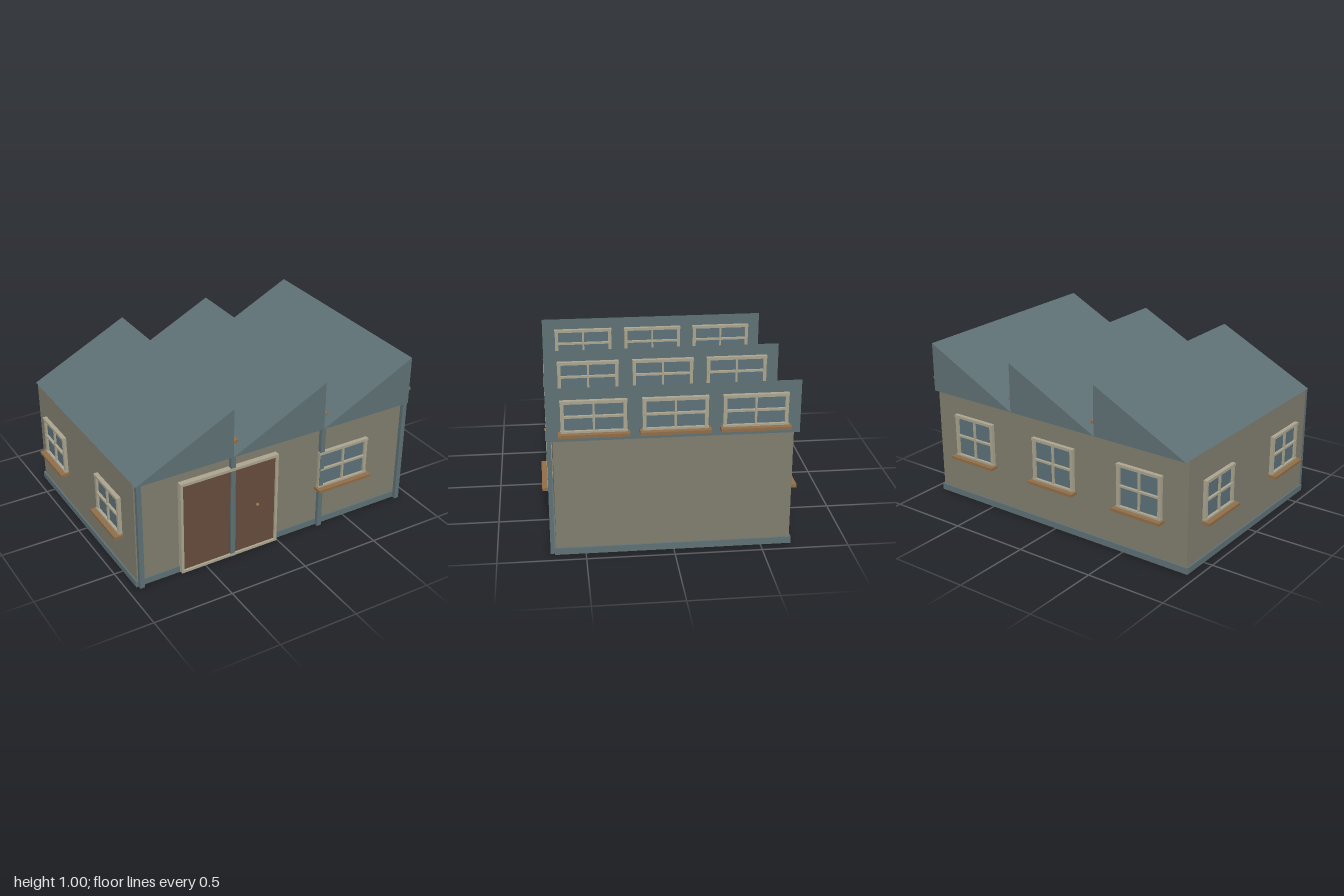
import * as THREE from 'three';

const mat = (name, color) => {
  const m = new THREE.MeshStandardMaterial({ color });
  m.name = name;
  return m;
};

export function createModel() {
  const wallMat = mat('wall grey', 0x807d6e);
  const roofMat = mat('slate teal', 0x5e7074);
  const glassMat = mat('window glass', 0x5c7078);
  const frameMat = mat('pale frame', 0xaaa48e);
  const sillMat = mat('wood sill', 0x8f6d48);
  const doorMat = mat('door brown', 0x674c3c);

  const model = new THREE.Group();
  model.name = 'sawtoothFactory';

  // Box given by its minimum and maximum on each axis
  function box(parent, name, material, x0, x1, y0, y1, z0, z1) {
    const mesh = new THREE.Mesh(new THREE.BoxGeometry(x1 - x0, y1 - y0, z1 - z0), material);
    mesh.position.set((x0 + x1) / 2, (y0 + y1) / 2, (z0 + z1) / 2);
    mesh.name = name;
    parent.add(mesh);
    return mesh;
  }

  const left = -0.935, right = 0.928, wallZ = 0.667, eaves = 0.69;

  // Walls and plinth
  box(model, 'walls', wallMat, left, right, 0.03, eaves, -wallZ, wallZ);
  box(model, 'plinth', roofMat, left - 0.01, right + 0.01, 0, 0.04, -0.676, 0.676);

  // Sawtooth roof: three wedges, each steep on the right side
  const ridges = [-0.313, 0.307, 0.93];
  let start = left;
  for (const ridge of ridges) {
    const shape = new THREE.Shape();
    shape.moveTo(start, eaves);
    shape.lineTo(ridge, eaves);
    shape.lineTo(ridge, 1.0);
    shape.closePath();
    const geo = new THREE.ExtrudeGeometry(shape, { depth: 1.4, bevelEnabled: false });
    geo.translate(0, 0, -0.7);
    const tooth = new THREE.Mesh(geo, roofMat);
    tooth.name = 'roofTooth';
    model.add(tooth);
    start = ridge;
  }

  // Front pillars
  for (const x of [-0.916, -0.315, 0.305, 0.908]) {
    box(model, 'pillar', roofMat, x - 0.015, x + 0.015, 0, eaves, 0.676, 0.7);
  }

  // Window with frame, cross bars and sill; local z points out of the wall
  function addWindow(x, y, z, turn, halfW, height) {
    const g = new THREE.Group();
    g.name = 'window';
    const t = 0.02, b = 0.006, near = 0.01, out = 0.036, mid = height / 2;
    box(g, 'glass', glassMat, -halfW + 0.01, halfW - 0.01, 0.005, height - 0.01, 0.006, 0.018);
    for (const s of [-1, 1]) {
      const c = s * (halfW - t / 2 - 0.002);
      box(g, 'frameStile', frameMat, c - t / 2, c + t / 2, 0, height - 0.002, near, out - 0.004);
    }
    box(g, 'frameTop', frameMat, -halfW, halfW, height - 0.017, height, near, out);
    box(g, 'frameBottom', frameMat, -halfW, halfW, 0, 0.012, near, out);
    box(g, 'uprightBar', frameMat, -b, b, 0.006, height - 0.01, near, out - 0.006);
    box(g, 'crossBar', frameMat, -halfW + 0.01, halfW - 0.01, mid - b, mid + b, near, out - 0.002);
    box(g, 'sill', sillMat, -halfW - 0.013, halfW + 0.013, -0.017, 0.001, near, 0.067);
    g.position.set(x, y, z);
    g.rotation.y = turn;
    model.add(g);
  }

  // Roof windows, three on each steep face
  for (const ridge of ridges) {
    for (const z of [0.441, -0.003, -0.445]) addWindow(ridge, 0.751, z, Math.PI / 2, 0.182, 0.185);
  }
  // Front, back and side windows
  addWindow(0.463, 0.282, wallZ, 0, 0.178, 0.247);
  for (const x of [-0.622, -0.004, 0.617]) addWindow(x, 0.294, -wallZ, Math.PI, 0.153, 0.272);
  for (const z of [-0.382, 0.372]) addWindow(left, 0.282, z, -Math.PI / 2, 0.153, 0.247);

  // Double door
  const door = new THREE.Group();
  door.name = 'door';
  box(door, 'leafRight', doorMat, -0.648, -0.336, 0.014, 0.606, 0.66, 0.69);
  box(door, 'leafLeft', doorMat, -0.334, -0.02, 0.014, 0.606, 0.66, 0.69);
  box(door, 'frameTop', frameMat, -0.66, -0.01, 0.6, 0.617, 0.66, 0.703);
  box(door, 'frameBottom', frameMat, -0.66, -0.01, 0.005, 0.02, 0.66, 0.703);
  for (const x of [-0.652, -0.018]) {
    box(door, 'frameSide', frameMat, x - 0.008, x + 0.008, 0.006, 0.616, 0.66, 0.702);
  }
  const knob = new THREE.Mesh(new THREE.SphereGeometry(0.011, 12, 8), sillMat);
  knob.name = 'doorKnob';
  knob.position.set(-0.15, 0.313, 0.702);
  door.add(knob);
  box(door, 'knobStem', sillMat, -0.154, -0.146, 0.309, 0.317, 0.68, 0.7);
  model.add(door);

  return model;
}
